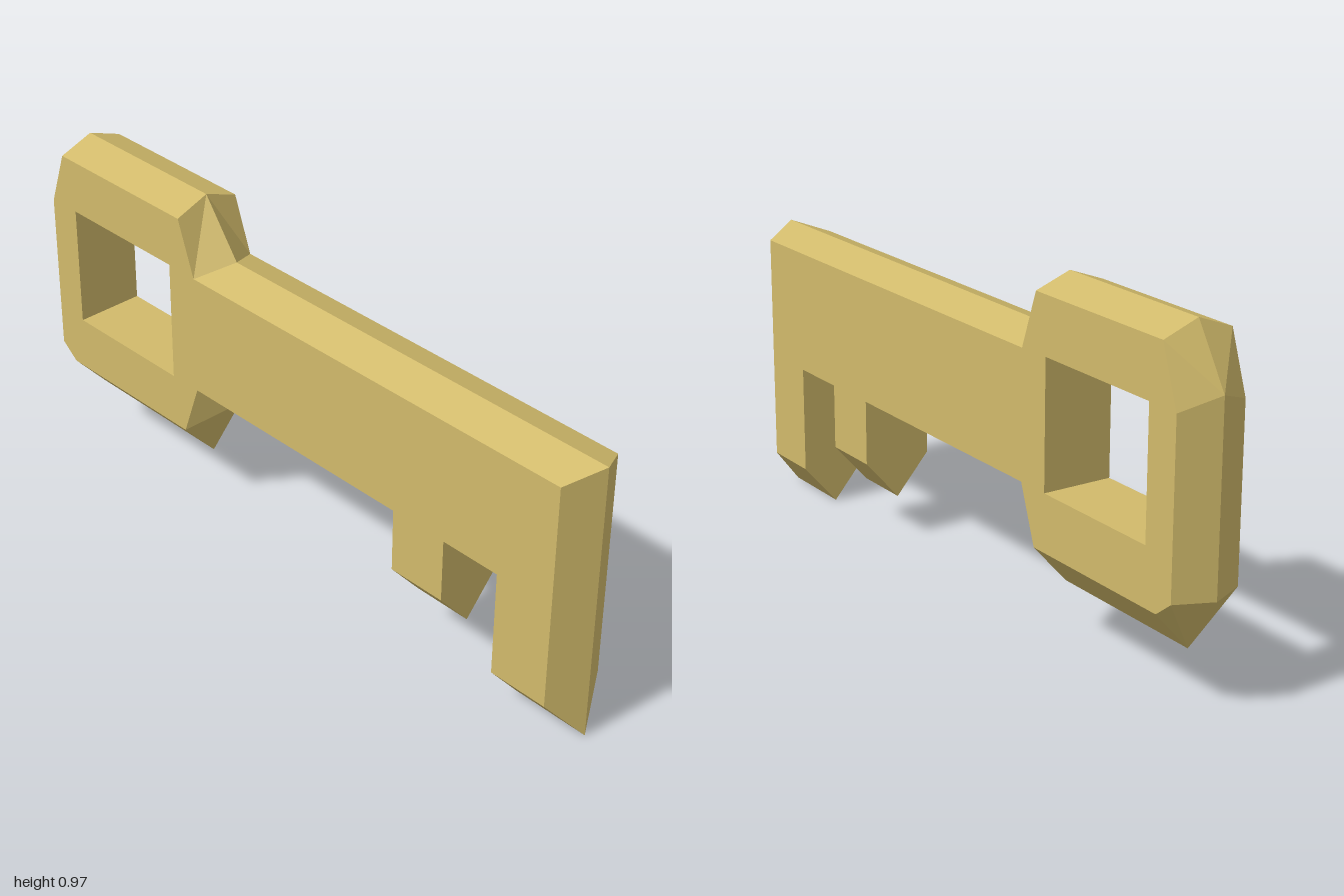
import * as THREE from 'three';

const HALF = 0.1; // half thickness

// Key outline, counter-clockwise: [face x, face y, ridge x, ridge y].
// The face loop lies at z = +-HALF, the wider ridge loop at z = 0.
const OUTLINE = [
  // bow, lower side
  [-0.955, 0.775, -1, 0.812], [-0.955, 0.31, -1, 0.31],
  [-0.9, 0.267, -0.9, 0.155], [-0.405, 0.267, -0.405, 0.155],
  // shaft underside and first tooth
  [-0.348, 0.425, -0.288, 0.367], [0.412, 0.425, 0.412, 0.367],
  [0.412, 0.24, 0.412, 0.125], [0.588, 0.24, 0.588, 0.125],
  [0.588, 0.425, 0.588, 0.367], [0.768, 0.425, 0.768, 0.367],
  // end tooth and tip
  [0.768, 0.117, 0.768, 0], [0.945, 0.117, 1, 0],
  // top side, back to the bow
  [0.945, 0.775, 1, 0.812], [-0.348, 0.775, -0.288, 0.812],
  [-0.405, 0.933, -0.405, 0.97], [-0.9, 0.933, -0.9, 0.97],
];

// Square hole in the bow, clockwise, with straight walls
const HOLE = [[-0.855, 0.425], [-0.855, 0.777], [-0.448, 0.777], [-0.448, 0.425]]
  .map(([x, y]) => [x, y, x, y]);

// Triangles of one half; side is +1 for the front and -1 for the back
function halfGeometry(side, build) {
  const positions = [];
  const tri = (a, b, c) => positions.push(...a, ...(side > 0 ? [...b, ...c] : [...c, ...b]));
  build(tri, (p) => [p[0], p[1], side * HALF], (p) => [p[2], p[3], 0]);
  const geometry = new THREE.BufferGeometry();
  geometry.setAttribute('position', new THREE.Float32BufferAttribute(positions, 3));
  geometry.computeVertexNormals();
  return geometry;
}

// Flat face with the hole cut out
function buildFace(tri, face) {
  const toVec = (p) => new THREE.Vector2(p[0], p[1]);
  const all = [...OUTLINE, ...HOLE];
  const triangles = THREE.ShapeUtils.triangulateShape(OUTLINE.map(toVec), [HOLE.map(toVec)]);
  for (const [a, b, c] of triangles) tri(face(all[a]), face(all[b]), face(all[c]));
}

// Band of quads from a face loop to its ridge loop
const buildBand = (loop) => (tri, face, ridge) => {
  loop.forEach((p, i) => {
    const q = loop[(i + 1) % loop.length];
    tri(face(p), ridge(p), ridge(q));
    tri(face(p), ridge(q), face(q));
  });
};

export function createModel() {
  const group = new THREE.Group();
  group.name = 'key';
  const brass = new THREE.MeshStandardMaterial({ color: 0xd1ba6b });
  brass.name = 'brass';
  brass.flatShading = true;

  const parts = { Face: buildFace, BevelledEdge: buildBand(OUTLINE), HoleWall: buildBand(HOLE) };
  for (const [sideName, side] of [['front', 1], ['back', -1]]) {
    for (const [partName, build] of Object.entries(parts)) {
      const mesh = new THREE.Mesh(halfGeometry(side, build), brass);
      mesh.name = sideName + partName;
      group.add(mesh);
    }
  }
  return group;
}
